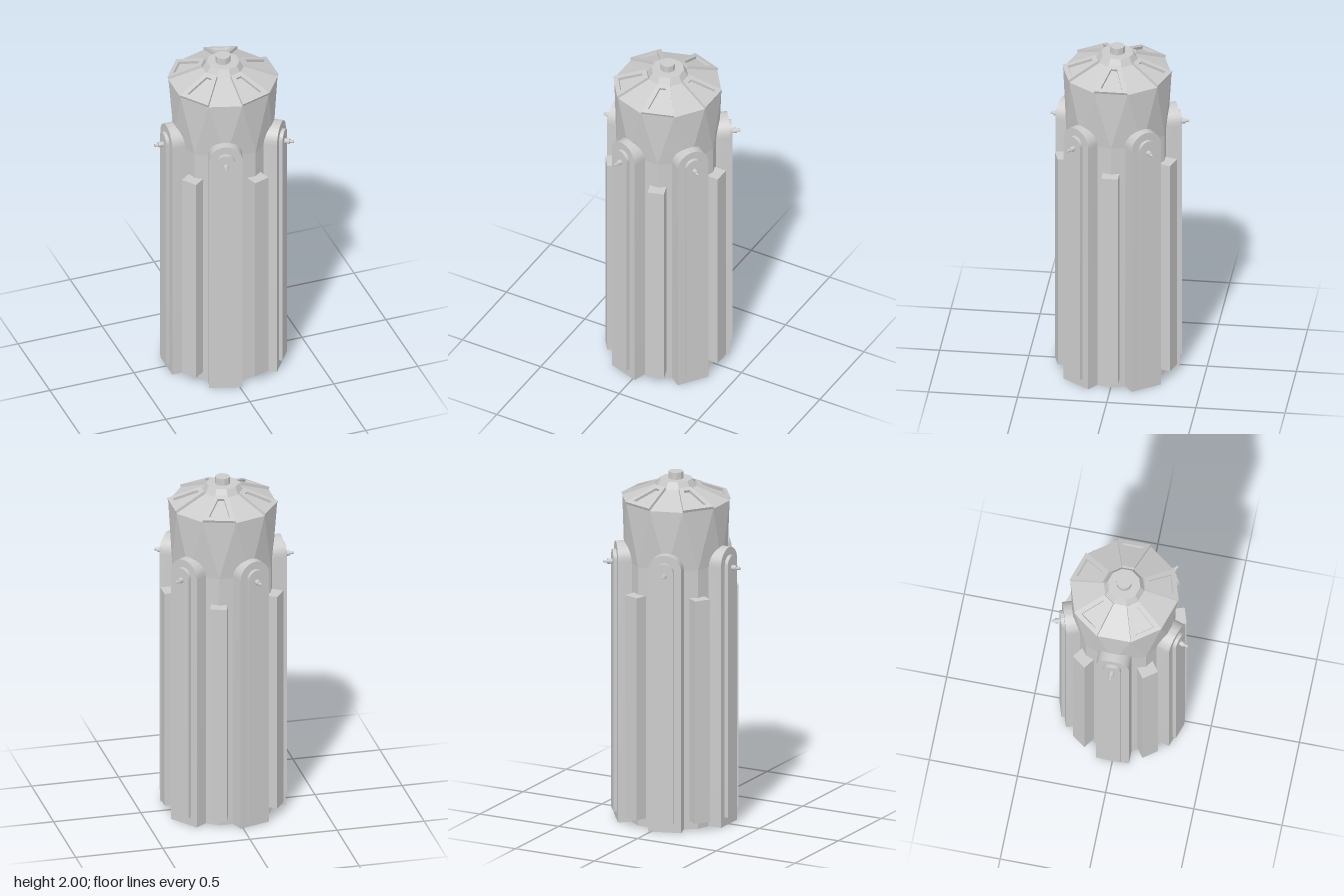
import * as THREE from 'three';
import { toCreasedNormals } from 'three/addons/utils/BufferGeometryUtils.js';

const SIDES = 10;
const STEP = (Math.PI * 2) / SIDES;
const R = 0.304;                              // eave corner radius
const APOTHEM = R * Math.cos(STEP / 2);       // distance to the face middles
const EAVE = 1.845, ROOF_TOP = 1.92, ROOF_IN = 0.115;

const grey = new THREE.MeshStandardMaterial({ color: 0xcccccc, flatShading: true, side: THREE.DoubleSide });
const smooth = new THREE.MeshStandardMaterial({ color: 0xcccccc });

function add(parent, name, geometry, material = grey) {
  const mesh = new THREE.Mesh(geometry, material);
  mesh.name = name;
  parent.add(mesh);
  return mesh;
}

// Ten-sided ring section between two heights
function ringSection(rTop, rBottom, yTop, yBottom, open = true) {
  return new THREE.CylinderGeometry(rTop, rBottom, yTop - yBottom, SIDES, 1, open)
    .translate(0, (yTop + yBottom) / 2, 0);
}

// Facets turning the eave corners into the shaft corners half a step away
function shoulderGeometry(yBottom) {
  const at = (r, k, y) => [r * Math.cos(k * STEP), y, r * Math.sin(k * STEP)];
  const points = [];
  for (let k = 0; k < SIDES; k++) {
    const low = at(APOTHEM, k, yBottom), nextLow = at(APOTHEM, k + 1, yBottom);
    const before = at(R, k - 0.5, EAVE), after = at(R, k + 0.5, EAVE);
    points.push(...low, ...before, ...after, ...low, ...after, ...nextLow);
  }
  const geometry = new THREE.BufferGeometry();
  geometry.setAttribute('position', new THREE.Float32BufferAttribute(points, 3));
  geometry.computeVertexNormals();
  return geometry;
}

// Upright slab with a round top, from depth z0 to z1
function archSlab(width, bottom, top, z0, z1) {
  const r = width / 2;
  const shape = new THREE.Shape();
  shape.moveTo(-r, bottom);
  shape.lineTo(r, bottom);
  shape.lineTo(r, top - r);
  shape.absarc(0, top - r, r, 0, Math.PI, false);
  shape.closePath();
  const geometry = new THREE.ExtrudeGeometry(shape, { depth: z1 - z0, bevelEnabled: false, curveSegments: 16 });
  return toCreasedNormals(geometry.translate(0, 0, z0), 0.6);
}

// Short rod pointing outwards
function rod(radius, z0, z1, y) {
  return new THREE.CylinderGeometry(radius, radius, z1 - z0, 12)
    .rotateX(Math.PI / 2).translate(0, y, (z0 + z1) / 2);
}

function trapezoid(path, y0, half0, y1, half1) {
  path.moveTo(-half0, y0);
  path.lineTo(half0, y0);
  path.lineTo(half1, y1);
  path.lineTo(-half1, y1);
  path.closePath();
  return path;
}

// Raised window frame lying on one roof face
function roofFrameGeometry() {
  const innerApothem = ROOF_IN * Math.cos(STEP / 2);
  const run = APOTHEM - innerApothem, rise = ROOF_TOP - EAVE;
  const length = Math.hypot(run, rise);
  const shape = trapezoid(new THREE.Shape(), 0, R * Math.sin(STEP / 2), length, ROOF_IN * Math.sin(STEP / 2));
  shape.holes.push(trapezoid(new THREE.Path(), 0.026, 0.058, 0.167, 0.017));
  return new THREE.ExtrudeGeometry(shape, { depth: 0.016, bevelEnabled: false })
    .rotateX(-Math.atan2(run, rise)).translate(0, EAVE, APOTHEM);
}

export function createModel() {
  const model = new THREE.Group();
  model.name = 'tower';
  const body = new THREE.Group();
  body.name = 'body';
  body.position.x = 0.03;
  model.add(body);

  // Hollow shaft, faceted shoulder and roof
  const shoulderBottom = 1.5;
  add(body, 'shaft', ringSection(APOTHEM, APOTHEM, shoulderBottom, 0).rotateY(STEP / 2));
  add(body, 'shoulder', shoulderGeometry(shoulderBottom));
  add(body, 'roof', ringSection(ROOF_IN, R, ROOF_TOP, EAVE));
  add(body, 'collar', ringSection(0.092, ROOF_IN, 1.96, ROOF_TOP, false));
  add(body, 'topPeg', ringSection(0.042, 0.042, 2, 1.95, false));

  // Faces alternate between a rib with a roof frame and an arched panel
  const rib = new THREE.BoxGeometry(0.094, 1.29, 0.095).translate(0, 0.695, 0.2975);
  const frame = roofFrameGeometry();
  const panel = archSlab(0.187, 0, 1.605, 0.256, 0.337);
  const inset = archSlab(0.1, 0.05, 1.56, 0.33, 0.357);
  const knob = rod(0.015, 0.35, 0.385, 1.49);
  const knobTip = rod(0.008, 0.38, 0.407, 1.49);
  for (let k = 0; k < SIDES; k++) {
    const side = new THREE.Group();
    side.rotation.y = Math.PI / 2 - k * STEP;
    body.add(side);
    if (k % 2 === 0) {
      side.name = 'ribSide';
      add(side, 'rib', rib);
      add(side, 'roofFrame', frame);
    } else {
      side.name = 'panelSide';
      add(side, 'archedPanel', panel, smooth);
      add(side, 'raisedInset', inset, smooth);
      add(side, 'knob', knob, smooth);
      add(side, 'knobTip', knobTip, smooth);
    }
  }
  return model;
}
